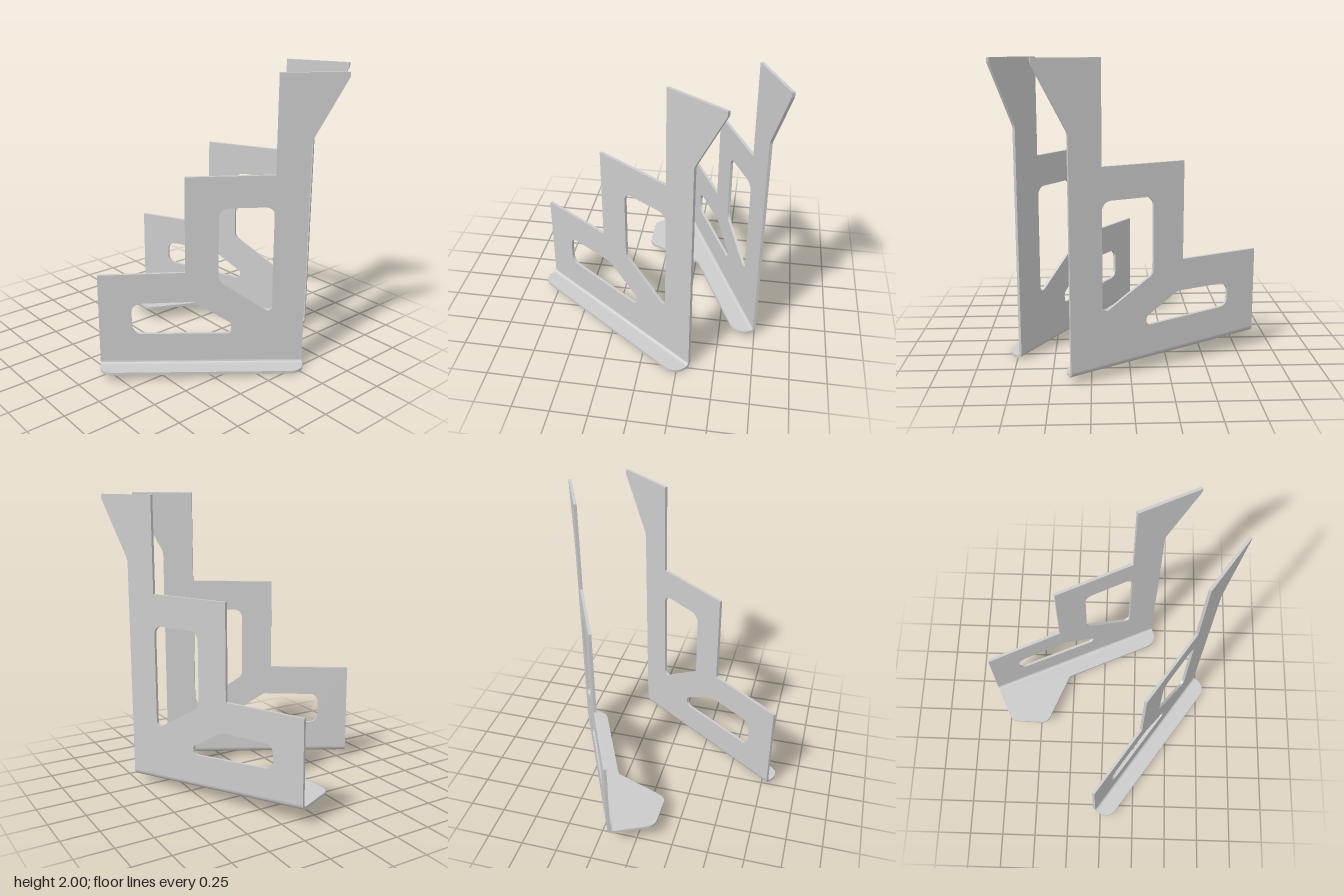
import * as THREE from 'three';
import { toCreasedNormals } from 'three/addons/utils/BufferGeometryUtils.js';

const T = 0.02;        // sheet thickness
const R = 0.04;        // outer bend radius
const LENGTH = 1.37;   // length of the folded edge

// Traces a closed polygon of [x, y, cornerRadius] into a Shape or Path
function rounded(path, pts) {
  const n = pts.length;
  pts.forEach(([x, y, r = 0], i) => {
    const p = new THREE.Vector2(x, y);
    const toPrev = new THREE.Vector2(...pts[(i + n - 1) % n].slice(0, 2)).sub(p).normalize();
    const toNext = new THREE.Vector2(...pts[(i + 1) % n].slice(0, 2)).sub(p).normalize();
    const angle = Math.acos(toPrev.dot(toNext));
    const d = r / Math.tan(angle / 2);
    const k = d - (4 / 3) * Math.tan((Math.PI - angle) / 4) * r;
    const a = p.clone().addScaledVector(toPrev, d);
    if (i === 0) path.moveTo(a.x, a.y);
    else path.lineTo(a.x, a.y);
    if (r > 0) {
      const c1 = p.clone().addScaledVector(toPrev, k);
      const c2 = p.clone().addScaledVector(toNext, k);
      const b = p.clone().addScaledVector(toNext, d);
      path.bezierCurveTo(c1.x, c1.y, c2.x, c2.y, b.x, b.y);
    }
  });
  path.closePath();
  return path;
}

const extrude = (shape, depth) =>
  new THREE.ExtrudeGeometry(shape, { depth, bevelEnabled: false, curveSegments: 8 });

// One folded bracket: local x runs along the fold, z points over the flange
function bracket(name, { back, front, holes, flange }) {
  const group = new THREE.Group();
  group.name = name;
  const material = new THREE.MeshStandardMaterial({ color: 0xcccccc });
  const base = (s) => back + (front - back) * s / LENGTH;
  const slope = (geo) => {
    const p = geo.attributes.position;
    for (let i = 0; i < p.count; i++) p.setY(i, p.getY(i) + base(p.getX(i)));
    return geo;
  };
  const add = (part, geo) => {
    const mesh = new THREE.Mesh(toCreasedNormals(geo, 0.5), material);
    mesh.name = part;
    group.add(mesh);
  };

  // Stepped upright plate with two cut-outs
  const outline = rounded(new THREE.Shape(), [
    [0, base(0) + R], [LENGTH, base(LENGTH) + R],
    [LENGTH, 1.57, 0.06], [1.588, 1.97, 0.03], [1.588, 2],
    [1.153, 2], [1.153, 1.357], [0.572, 1.357], [0.572, 0.71], [0, 0.71],
  ]);
  outline.holes = holes.map((h) => rounded(new THREE.Path(), h));
  add('steppedPlate', extrude(outline, T));

  // Quarter-round bend between plate and flange
  const arc = new THREE.Shape();
  arc.absarc(-R, R, R, -Math.PI / 2, 0, false);
  arc.absarc(-R, R, R - T, 0, -Math.PI / 2, true);
  arc.closePath();
  add('bend', slope(extrude(arc, LENGTH).rotateY(Math.PI / 2)));

  // Flat foot flange
  const foot = extrude(rounded(new THREE.Shape(), flange), T);
  add('footFlange', slope(foot.rotateX(Math.PI / 2).translate(0, T, 0)));
  return group;
}

export function createModel() {
  const model = new THREE.Group();
  model.name = 'bracketPair';

  // Bracket with a narrow straight foot
  const narrow = bracket('narrowFootBracket', {
    back: 0.05, front: 0,
    holes: [
      [[0.216, 0.5, 0.06], [0.625, 0.5, 0.06], [0.882, 0.332, 0.035], [0.882, 0.257, 0.03], [0.216, 0.28, 0.06]],
      [[0.79, 1.145, 0.06], [1.153, 1.145, 0.06], [1.153, 0.39, 0.03], [0.79, 0.638, 0.06]],
    ],
    flange: [[0, R], [LENGTH, R], [LENGTH, 0.145, 0.1], [0, 0.145, 0.08]],
  });
  narrow.position.set(-0.79, 0, -0.055);
  narrow.rotation.y = -Math.atan2(0.568, 0.823);

  // Bracket whose foot widens towards the back
  const wide = bracket('wideFootBracket', {
    back: 0.112, front: 0.041,
    holes: [
      [[0.216, 0.5, 0.06], [0.61, 0.5, 0.06], [0.84, 0.362, 0.03], [0.84, 0.302, 0.03], [0.216, 0.336, 0.06]],
      [[0.79, 1.145, 0.06], [1.153, 1.145, 0.06], [1.153, 0.425, 0.03], [0.79, 0.642, 0.06]],
    ],
    flange: [
      [0, R], [LENGTH, R], [LENGTH, 0.152, 0.1], [0.57, 0.152, 0.06],
      [0.255, 0.447, 0.07], [0, 0.325, 0.08],
    ],
  });
  wide.position.set(0.172, 0, -0.865);
  wide.rotation.y = -Math.atan2(0.904, 0.428);

  model.add(narrow, wide);
  return model;
}
